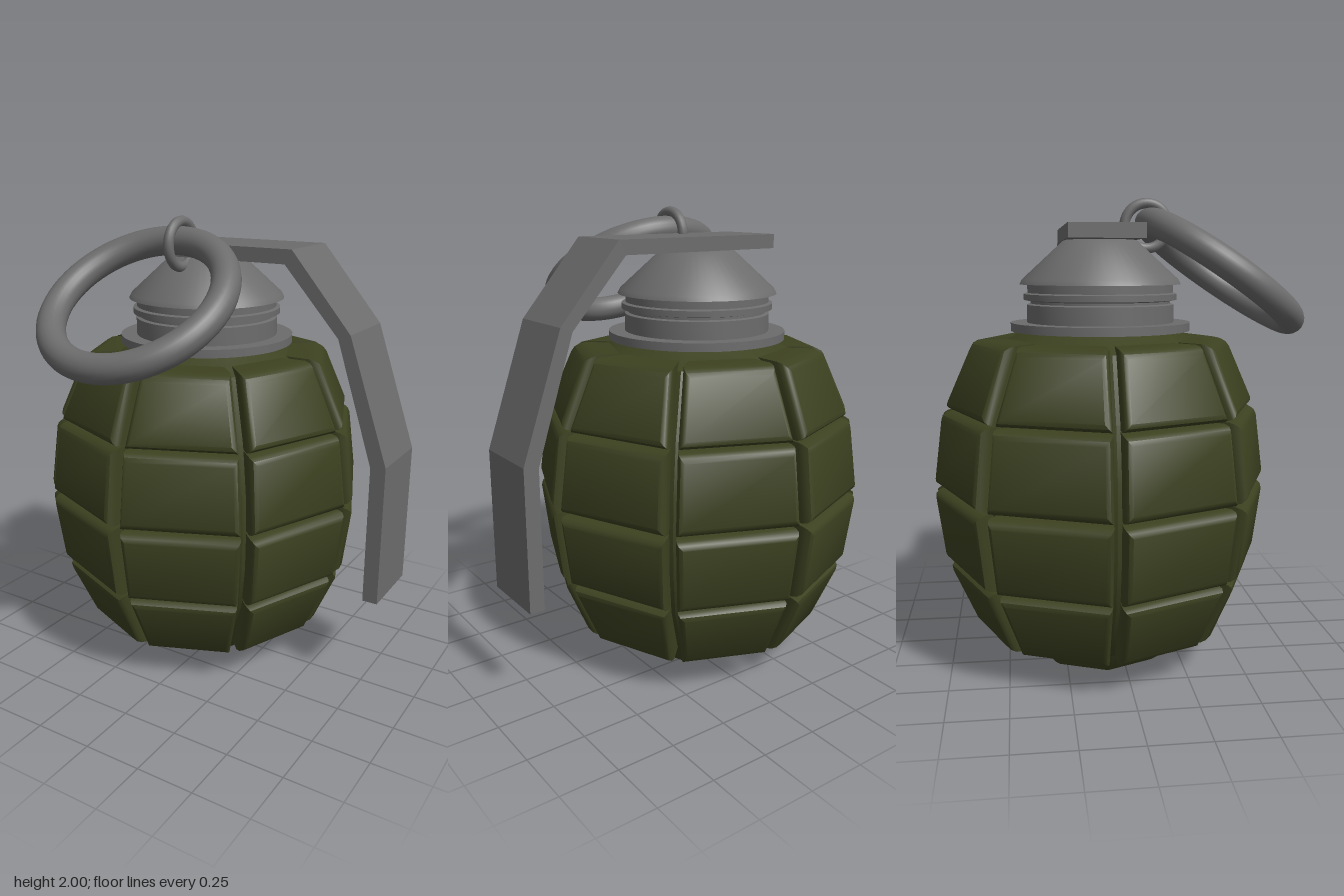
import * as THREE from 'three';
import { mergeGeometries, toCreasedNormals } from 'three/addons/utils/BufferGeometryUtils.js';

const SIDES = 8;
const HALF_TAN = Math.tan(Math.PI / SIDES);
const GROOVE = 0.018;

// One bevelled block of the shell: lofted rings running from inside the core to the outer face.
// y0/y1 are the lower and upper edges, a0/a1 the distance of the face from the axis there.
function blockGeometry([y0, a0, y1, a1]) {
  // [depth below the face, inset from the edges]
  const rings = [[0.2, 0], [0.05, 0], [0.026, 0.006], [0.009, 0.018], [0, 0.036]];
  const positions = [];
  for (const [depth, inset] of rings) {
    for (const [side, top] of [[-1, 0], [1, 0], [1, 1], [-1, 1]]) {
      const y = top ? y1 - inset : y0 + inset;
      const n = THREE.MathUtils.mapLinear(y, y0, y1, a0, a1) - depth;
      positions.push(side * (n * HALF_TAN - GROOVE - inset), y, n);
    }
  }
  const index = [];
  for (let i = 0; i < rings.length - 1; i++) {
    for (let j = 0; j < 4; j++) {
      const a = i * 4 + j, b = i * 4 + (j + 1) % 4;
      index.push(a, b, b + 4, a, b + 4, a + 4);
    }
  }
  const f = (rings.length - 1) * 4;
  index.push(f, f + 1, f + 2, f, f + 2, f + 3);
  const geometry = new THREE.BufferGeometry();
  geometry.setAttribute('position', new THREE.Float32BufferAttribute(positions, 3));
  geometry.setIndex(index);
  return toCreasedNormals(geometry, 0.7);
}

function lathe(points, segments, crease) {
  const profile = points.map(([r, y]) => new THREE.Vector2(r, y));
  return toCreasedNormals(new THREE.LatheGeometry(profile, segments), crease);
}

export function createModel() {
  const olive = new THREE.MeshStandardMaterial({ color: 0x3c4120 });
  olive.name = 'olive green';
  const steel = new THREE.MeshStandardMaterial({ color: 0x6c6c6c });
  steel.name = 'steel grey';

  const model = new THREE.Group();
  model.name = 'grenade';
  const add = (name, geometry, material, parent = model) => {
    const mesh = new THREE.Mesh(geometry, material);
    mesh.name = name;
    parent.add(mesh);
    return mesh;
  };

  const body = new THREE.Group();
  body.name = 'body';
  body.position.set(-0.11, 0, -0.08);
  model.add(body);

  // Eight-sided core with a foot and a shallow recess underneath
  add('core', lathe([
    [0, 0.03], [0.2, 0.03], [0.23, 0.004], [0.25, 0], [0.285, 0], [0.312, 0.02], [0.36, 0.1], [0.42, 0.15],
    [0.59, 0.4], [0.64, 0.6], [0.65, 0.77], [0.64, 0.93], [0.59, 1.13],
    [0.46, 1.38], [0.4, 1.41], [0.31, 1.46],
  ], SIDES, 0.6), olive, body);

  // Four rows of blocks with grooves between them
  const rows = [
    ['lowestBlocks', 0.135, 0.52, 0.433, 0.643],
    ['lowerBlocks', 0.44, 0.65, 0.766, 0.69],
    ['upperBlocks', 0.778, 0.69, 1.107, 0.65],
    ['topBlocks', 1.112, 0.643, 1.41, 0.52],
  ];
  for (const [name, ...row] of rows) {
    const blocks = [];
    for (let i = 0; i < SIDES; i++) {
      blocks.push(blockGeometry(row).rotateY((i + 0.5) * 2 * Math.PI / SIDES));
    }
    add(name, mergeGeometries(blocks), olive, body);
  }

  // Collar, grooved neck and conical cap
  add('fuseNeckAndCap', lathe([
    [0.28, 1.445], [0.385, 1.445], [0.385, 1.48], [0.315, 1.48], [0.315, 1.555], [0.3, 1.56],
    [0.3, 1.57], [0.328, 1.575], [0.328, 1.6], [0.312, 1.605], [0.312, 1.64],
    [0.345, 1.64], [0.335, 1.66], [0.16, 1.82], [0.12, 1.835], [0, 1.84],
  ], 48, 0.5), steel, body);

  // Bent safety lever
  const outline = [
    [-0.41, 1.825], [0.355, 1.825], [0.6, 1.55], [0.765, 1.04], [0.765, 0.44],
    [0.83, 0.44], [0.83, 1.05], [0.652, 1.57], [0.385, 1.885], [-0.41, 1.885],
  ].map(([x, y]) => new THREE.Vector2(x, y));
  const leverGeometry = new THREE.ExtrudeGeometry(new THREE.Shape(outline), { depth: 0.31, bevelEnabled: false });
  add('safetyLever', leverGeometry.translate(0, 0, -0.235), steel);

  // Pull ring hanging from a small link
  const ring = add('pullRing', new THREE.TorusGeometry(0.37, 0.06, 20, 64), steel);
  ring.position.set(-0.11, 1.69, 0.437);
  ring.rotation.x = -0.968;
  const link = add('ringLink', new THREE.TorusGeometry(0.094, 0.022, 12, 36), steel);
  link.position.set(-0.11, 1.884, 0.118);
  link.rotation.y = Math.PI / 2;

  return model;
}
